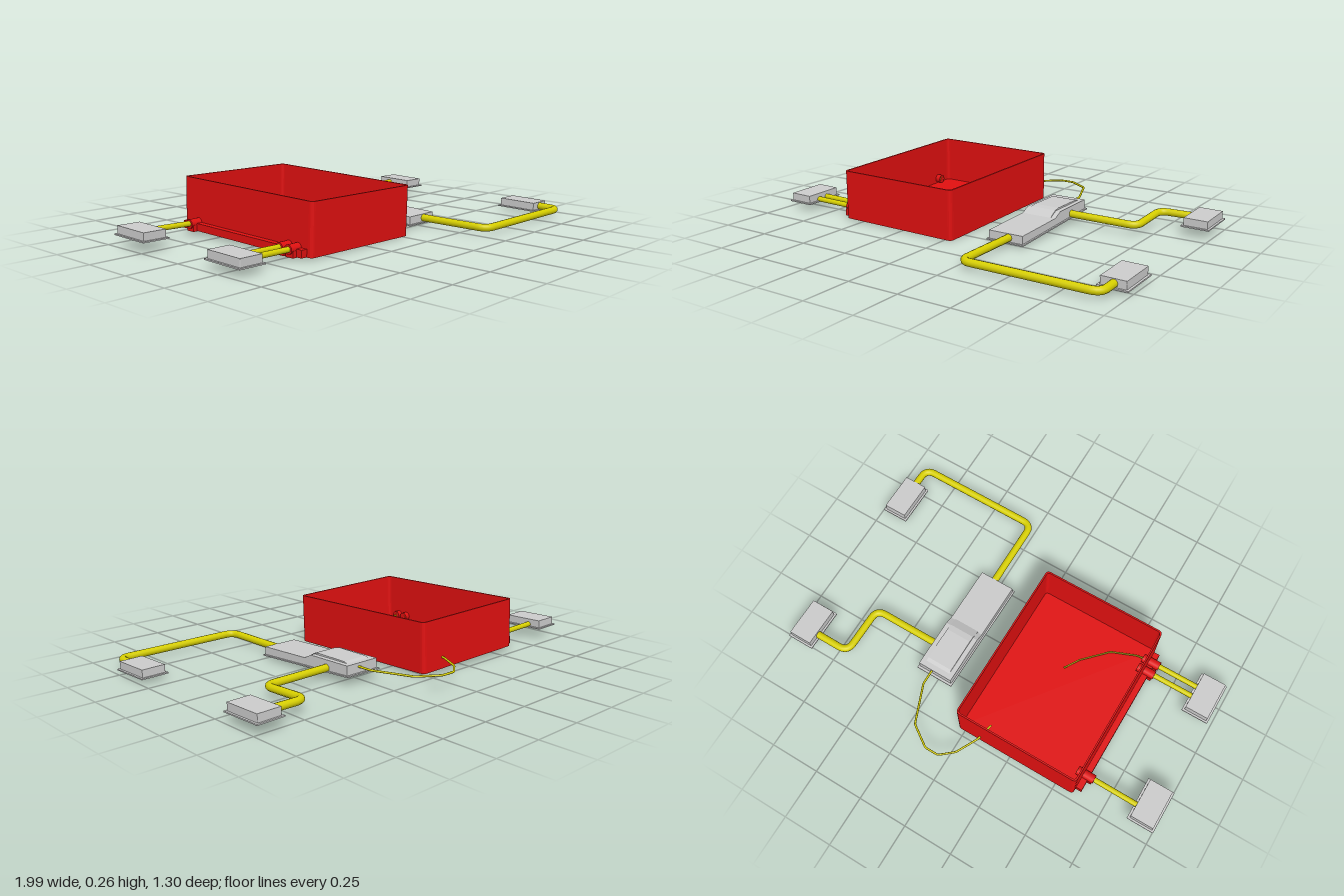
import * as THREE from 'three';

const mat = (color) => new THREE.MeshStandardMaterial({ color, side: THREE.DoubleSide });
const V = (x, y, z) => new THREE.Vector3(x, y, z);

export function createModel() {
  const root = new THREE.Group();
  const red = mat(0xe01010), yellow = mat(0xd8d000), grey = mat(0xcccccc);

  const add = (parent, name, geo, material, x = 0, y = 0, z = 0) => {
    const m = new THREE.Mesh(geo, material);
    m.name = name;
    m.position.set(x, y, z);
    parent.add(m);
    return m;
  };

  const rect = (target, w, d, r) => {
    const a = w / 2, b = d / 2;
    target.moveTo(-a + r, -b).lineTo(a - r, -b).quadraticCurveTo(a, -b, a, -b + r)
      .lineTo(a, b - r).quadraticCurveTo(a, b, a - r, b)
      .lineTo(-a + r, b).quadraticCurveTo(-a, b, -a, b - r)
      .lineTo(-a, -b + r).quadraticCurveTo(-a, -b, -a + r, -b);
    return target;
  };

  // Upright rectangular frame, base at y = 0
  const frame = (w, d, t, h, r = 0.003) => {
    const s = rect(new THREE.Shape(), w, d, r);
    s.holes.push(rect(new THREE.Path(), w - 2 * t, d - 2 * t, Math.max(r - t / 2, 0.001)));
    return new THREE.ExtrudeGeometry(s, { depth: h, bevelEnabled: false, curveSegments: 4 }).rotateX(-Math.PI / 2);
  };

  // Side profile of [z, y] points, extruded across x and centred
  const sideways = (pts, width) => {
    const s = new THREE.Shape(pts.map(([z, y]) => new THREE.Vector2(-z, y)));
    return new THREE.ExtrudeGeometry(s, { depth: width, bevelEnabled: false })
      .rotateY(Math.PI / 2).translate(-width / 2, 0, 0);
  };

  // Pipe along straight runs with rounded corners
  const pipe = (name, pts, radius, bend = 0.05) => {
    const path = new THREE.CurvePath();
    let from = pts[0];
    for (let i = 1; i < pts.length - 1; i++) {
      const p = pts[i];
      const inn = p.clone().add(pts[i - 1].clone().sub(p).setLength(bend));
      const out = p.clone().add(pts[i + 1].clone().sub(p).setLength(bend));
      path.add(new THREE.LineCurve3(from, inn));
      path.add(new THREE.QuadraticBezierCurve3(inn, p, out));
      from = out;
    }
    path.add(new THREE.LineCurve3(from, pts[pts.length - 1]));
    add(root, name, new THREE.TubeGeometry(path, pts.length > 2 ? 100 : 2, radius, 12), yellow);
  };

  // Open tray, tilted a little
  const tray = new THREE.Group();
  tray.name = 'tray';
  tray.position.set(-0.28, 0.014, -0.058);
  tray.rotation.set(0.022, 0, -0.012);
  root.add(tray);
  add(tray, 'trayWalls', frame(0.63, 0.835, 0.008, 0.238, 0.02), red);
  add(tray, 'trayFloor', new THREE.BoxGeometry(0.62, 0.01, 0.825), red, 0, 0.005, 0);
  add(tray, 'sideRail', new THREE.BoxGeometry(0.034, 0.035, 0.78), red, -0.328, 0.018, 0);

  // Clamps holding the straight pipes in the tray wall
  for (const z of [-0.372, 0.226, 0.28]) {
    const y = 0.05 - z * 0.022;
    add(root, 'pipeClamp', new THREE.CylinderGeometry(0.022, 0.022, 0.09, 12).rotateZ(Math.PI / 2), red, -0.606, y, z);
    add(root, 'clampFoot', new THREE.BoxGeometry(0.05, 0.03, 0.045), red, -0.62, y - 0.02, z);
  }

  // Hollow end covers with a flange around the open base
  const covers = [[-0.932, 0.05, -0.343], [-0.912, 0.036, 0.25], [0.925, 0.045, -0.408], [0.923, 0.018, 0.425]];
  for (const [x, y, z] of covers) {
    const g = new THREE.Group();
    g.name = 'endCover';
    g.position.set(x, y, z);
    g.rotation.set(0.022, 0, -0.012);
    add(g, 'coverWalls', frame(0.116, 0.196, 0.005, 0.042), grey);
    add(g, 'coverTop', new THREE.BoxGeometry(0.116, 0.005, 0.196), grey, 0, 0.04, 0);
    add(g, 'coverFlange', frame(0.136, 0.216, 0.015, 0.006), grey);
    root.add(g);
  }

  // Central stepped housing, open below
  const hub = new THREE.Group();
  hub.name = 'hubHousing';
  hub.position.x = 0.264;
  root.add(hub);
  const outer = [[0.262, 0.013], [0.262, 0.055], [-0.03, 0.066], [-0.072, 0.088], [-0.316, 0.092], [-0.316, 0.044]];
  const inner = [[-0.31, 0.044], [-0.31, 0.086], [-0.074, 0.082], [-0.032, 0.06], [0.256, 0.049], [0.256, 0.013]];
  add(hub, 'hubRoof', sideways([...outer, ...inner], 0.174), grey);
  for (const s of [-1, 1]) add(hub, 'hubSide', sideways(outer, 0.005), grey, s * 0.0865);
  add(hub, 'hubHump', sideways([[-0.025, 0.066], [-0.07, 0.092], [-0.1, 0.097], [-0.27, 0.097], [-0.29, 0.091]], 0.13), grey);
  add(hub, 'hubFlange', frame(0.194, 0.6, 0.014, 0.006), grey, 0, 0.026, -0.029).rotation.x = 0.052;
  for (const z of [-0.1, -0.24]) add(hub, 'hubRib', new THREE.BoxGeometry(0.165, 0.035, 0.005), grey, 0, 0.066, z);

  // Straight pipes on the right side
  pipe('rearStraightPipe', [V(-0.92, 0.066, -0.375), V(-0.56, 0.058, -0.372)], 0.013);
  pipe('frontStraightPipe', [V(-0.91, 0.05, 0.226), V(-0.56, 0.045, 0.226)], 0.013);
  pipe('frontStraightPipe', [V(-0.91, 0.048, 0.28), V(-0.56, 0.043, 0.28)], 0.013);

  // Bent pipes from the hub to the left covers
  pipe('rearBentPipe', [V(0.3, 0.053, -0.18), V(0.696, 0.05, -0.18), V(0.696, 0.06, -0.44), V(0.93, 0.062, -0.44)], 0.018);
  pipe('frontBentPipe', [V(0.28, 0.036, 0.2), V(0.28, 0.035, 0.628), V(0.925, 0.035, 0.628), V(0.925, 0.04, 0.42)], 0.018);

  // Thin wires
  pipe('rearWire', [V(-0.105, 0.075, -0.4), V(-0.085, 0.075, -0.49), V(-0.03, 0.075, -0.595), V(0.035, 0.075, -0.65),
    V(0.105, 0.075, -0.65), V(0.208, 0.075, -0.58), V(0.283, 0.075, -0.39), V(0.283, 0.075, -0.3)], 0.005, 0.008);
  pipe('trayWire', [V(-0.58, 0.043, 0.28), V(-0.53, 0.043, 0.275), V(-0.41, 0.045, 0.225), V(-0.3, 0.047, 0.11),
    V(-0.255, 0.048, 0.035)], 0.004, 0.008);

  return root;
}
